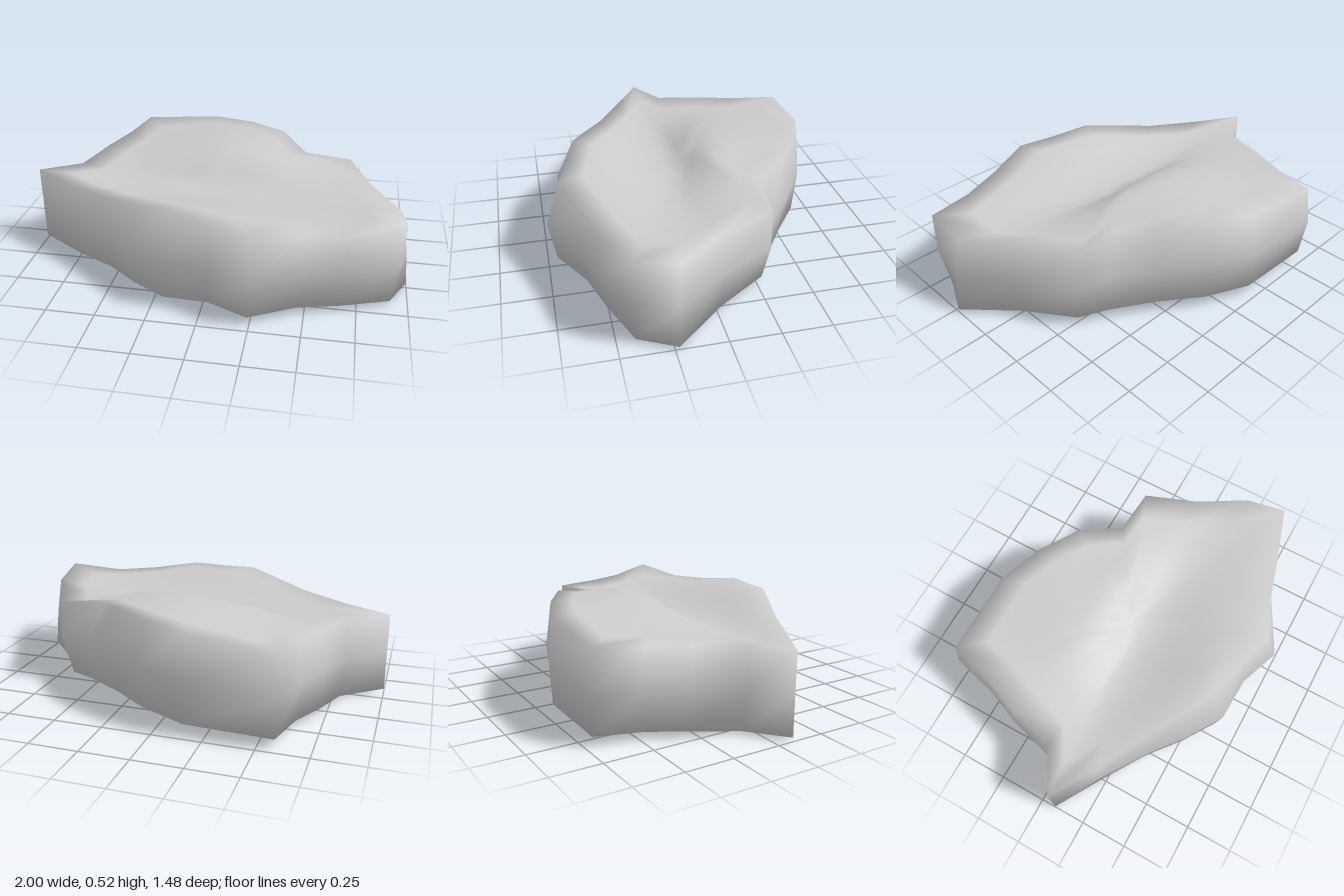
import * as THREE from 'three';
import { mergeVertices } from 'three/addons/utils/BufferGeometryUtils.js';

// Outline corners: x, z, bottom height, rim height, inset of the rim, inset of the lower edge
const outline = [
  [-1, 0.08, 0.02, 0.43, 0, 0], [-0.81, -0.04, 0, 0.43, 0.02, 0.03], [-0.74, -0.3, 0.03, 0.44, 0.03, 0.03],
  [-0.66, -0.5, 0.04, 0.45, 0.03, 0.04], [-0.6, -0.74, 0.05, 0.46, 0.03, 0.03], [-0.15, -0.73, 0.06, 0.5, 0.04, 0.02],
  [0.09, -0.64, 0.07, 0.515, 0.05, 0.03], [0.3, -0.51, 0.07, 0.52, 0.06, 0.06], [0.5, -0.35, 0.06, 0.475, 0.15, 0.02],
  [0.68, -0.29, 0.05, 0.455, 0.01, 0.07], [0.81, -0.02, 0.03, 0.44, 0.03, 0.03], [1, 0.23, 0.015, 0.42, 0.06, 0],
  [0.95, 0.43, 0.02, 0.47, 0, 0.04], [0.7, 0.53, 0.03, 0.43, 0.02, 0.04], [0.48, 0.6, 0.04, 0.445, 0.03, 0.04],
  [0.25, 0.74, 0.045, 0.475, 0.1, 0.05], [0.04, 0.66, 0.06, 0.485, 0.08, 0.04], [-0.2, 0.65, 0.06, 0.5, 0.15, 0.04],
  [-0.38, 0.53, 0.05, 0.47, 0.12, 0.04], [-0.55, 0.39, 0.04, 0.44, 0.07, 0.04], [-0.78, 0.23, 0.01, 0.425, 0.02, 0.03],
];

const { lerp, smoothstep } = THREE.MathUtils;
const bump = (v, centre, width) => Math.exp(-(((v - centre) / width) ** 2));

// Upper surface: a valley between a raised back plateau and a front ridge
function topHeight(x, z) {
  const plateau = 0.13 * smoothstep(-z, -0.07, 0.15) * bump(x, 0.04, 0.56);
  const ridge = 0.1 * smoothstep(z, 0.1, 0.55) * bump(x, -0.1, 0.8);
  return 0.39 + 0.02 * x * x + plateau + ridge;
}

function slabGeometry() {
  const rings = [];
  // Underside, from its centre to the lower edge
  for (const s of [0, 0.55, 1]) {
    rings.push(outline.map(([x, z, bottom, , , inset]) => {
      const k = (1 - inset) * s;
      return [x * k, lerp(0.07, bottom, s), z * k];
    }));
  }
  // Widest line of the side wall
  rings.push(outline.map(([x, z, bottom, top]) => [Math.min(x, 0.98), (bottom + top) / 2, z]));
  // Rim and upper surface, moving in to the centre
  for (const s of [1, 0.82, 0.64, 0.47, 0.31, 0.15, 0]) {
    const t = smoothstep(1 - s, 0, 0.3);
    rings.push(outline.map(([x, z, , top, inset]) => {
      const k = (1 - inset) * s;
      return [x * k, lerp(top, topHeight(x * k, z * k), t), z * k];
    }));
  }

  // Join neighbouring rings; the first and last are single points
  const n = outline.length;
  const index = [];
  for (let r = 0; r < rings.length - 1; r++) {
    for (let i = 0; i < n; i++) {
      const a = r * n + i, b = r * n + (i + 1) % n;
      const c = b + n, d = a + n;
      if (r > 0) index.push(b, a, d);
      if (r < rings.length - 2) index.push(b, d, c);
    }
  }
  // The last fan needs the other diagonal's triangle only, as does the first
  const geometry = new THREE.BufferGeometry();
  geometry.setAttribute('position', new THREE.Float32BufferAttribute(rings.flat(2), 3));
  geometry.setIndex(index);
  const smooth = mergeVertices(geometry, 1e-4);
  smooth.computeVertexNormals();
  return smooth;
}

export function createModel() {
  const group = new THREE.Group();
  group.name = 'rock';
  const slab = new THREE.Mesh(slabGeometry(), new THREE.MeshStandardMaterial({ color: 0xcccccc }));
  slab.name = 'rockSlab';
  group.add(slab);
  return group;
}
